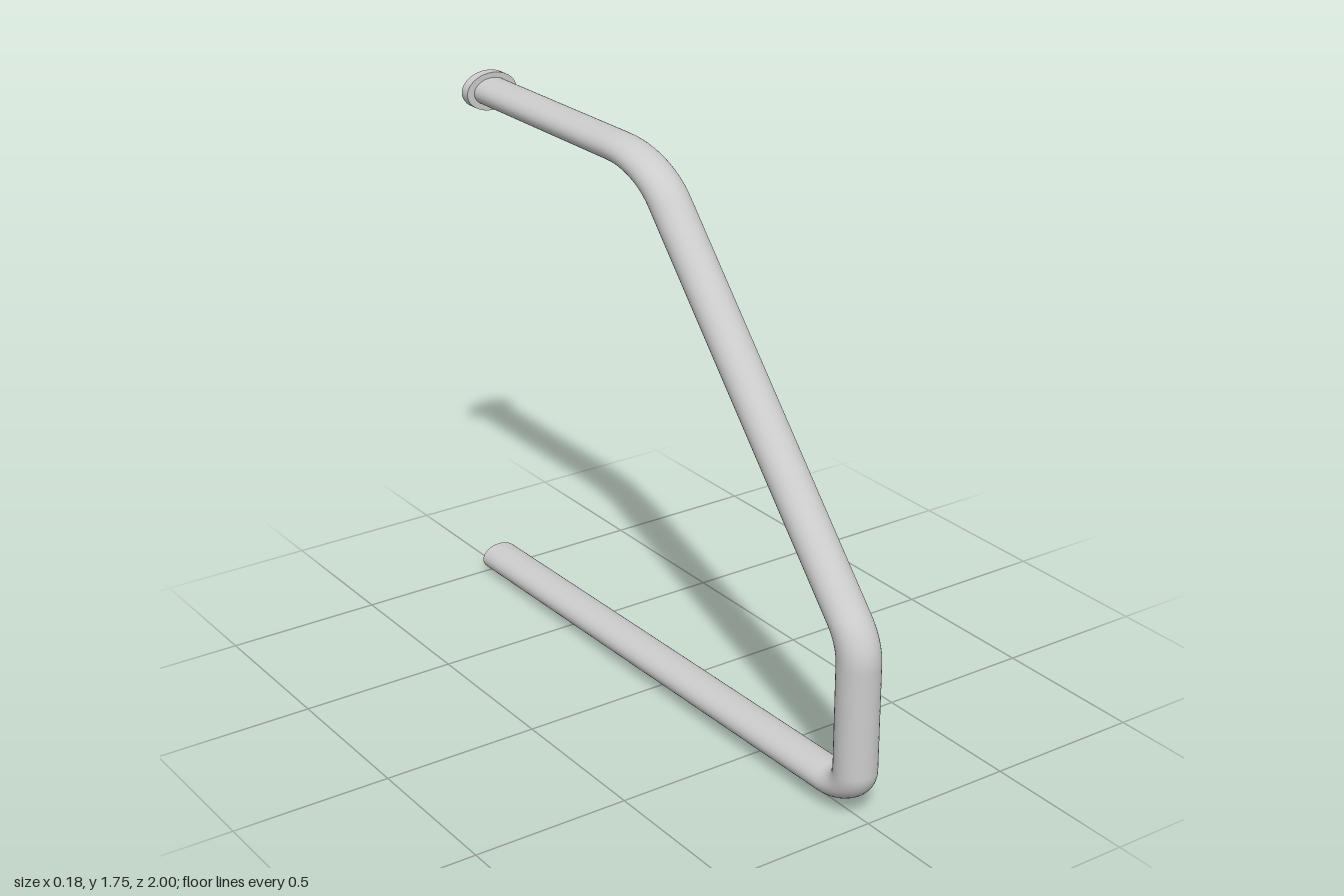
import * as THREE from 'three';

const SQUASH = 0.68; // the whole rail is flattened in height
const RADIUS = 0.065;
const material = new THREE.MeshStandardMaterial({ color: 0xcccccc });

// Point in the rail's plane, before flattening
const at = (z, y) => new THREE.Vector3(0, y / SQUASH, z);

// Curve through exact samples, so straight runs stay straight and bends stay round
class BentPath extends THREE.Curve {
  constructor(samples) {
    super();
    this.samples = samples;
  }
  sample(u) {
    return this.samples[Math.round(u * (this.samples.length - 1))];
  }
  getPoint(u) { return this.sample(u).point.clone(); }
  getPointAt(u) { return this.getPoint(u); }
  getTangent(u) { return this.sample(u).tangent.clone(); }
  getTangentAt(u) { return this.getTangent(u); }
}

// Corners joined by straight runs; each inner corner is rounded over the given tangent length
function bentPath(corners, steps = 12) {
  const dirs = corners.slice(1).map((c, i) => c.p.clone().sub(corners[i].p).normalize());
  const samples = [{ point: corners[0].p, tangent: dirs[0] }];
  for (let i = 1; i < corners.length - 1; i++) {
    const a = dirs[i - 1], b = dirs[i], { p, bend } = corners[i];
    const angle = a.angleTo(b);
    const r = bend / Math.tan(angle / 2);
    const n = b.clone().addScaledVector(a, -a.dot(b)).normalize();
    const start = p.clone().addScaledVector(a, -bend);
    for (let k = 0; k <= steps; k++) {
      const t = (angle * k) / steps;
      samples.push({
        point: start.clone().addScaledVector(a, r * Math.sin(t)).addScaledVector(n, r * (1 - Math.cos(t))),
        tangent: a.clone().multiplyScalar(Math.cos(t)).addScaledVector(n, Math.sin(t)),
      });
    }
  }
  samples.push({ point: corners[corners.length - 1].p, tangent: dirs[dirs.length - 1] });
  return new BentPath(samples);
}

export function createModel() {
  const group = new THREE.Group();
  group.name = 'bentRail';
  const add = (name, geometry) => {
    geometry.scale(1, SQUASH, 1);
    const mesh = new THREE.Mesh(geometry, material);
    mesh.name = name;
    group.add(mesh);
  };

  // Bent tube: top run, sloping run, upright, bottom run
  const path = bentPath([
    { p: at(-0.98, 1.692) },
    { p: at(-0.077, 1.692), bend: 0.173 },
    { p: at(0.935, 0.553), bend: 0.095 },
    { p: at(0.935, 0.074), bend: 0.11 },
    { p: at(-1, 0.045) },
  ]);
  add('tube', new THREE.TubeGeometry(path, path.samples.length - 1, RADIUS, 40, false));

  // Flat cap on the free end of the bottom run
  const end = path.getPoint(1), out = path.getTangent(1);
  const cap = new THREE.CircleGeometry(RADIUS, 40);
  cap.applyQuaternion(new THREE.Quaternion().setFromUnitVectors(new THREE.Vector3(0, 0, 1), out));
  cap.translate(end.x, end.y, end.z);
  add('endCap', cap);

  // Mounting flange at the back of the top run
  const flange = new THREE.CylinderGeometry(0.09, 0.09, 0.035, 40);
  flange.rotateX(Math.PI / 2);
  flange.translate(0, 1.692 / SQUASH, -0.9825);
  add('flange', flange);

  return group;
}
